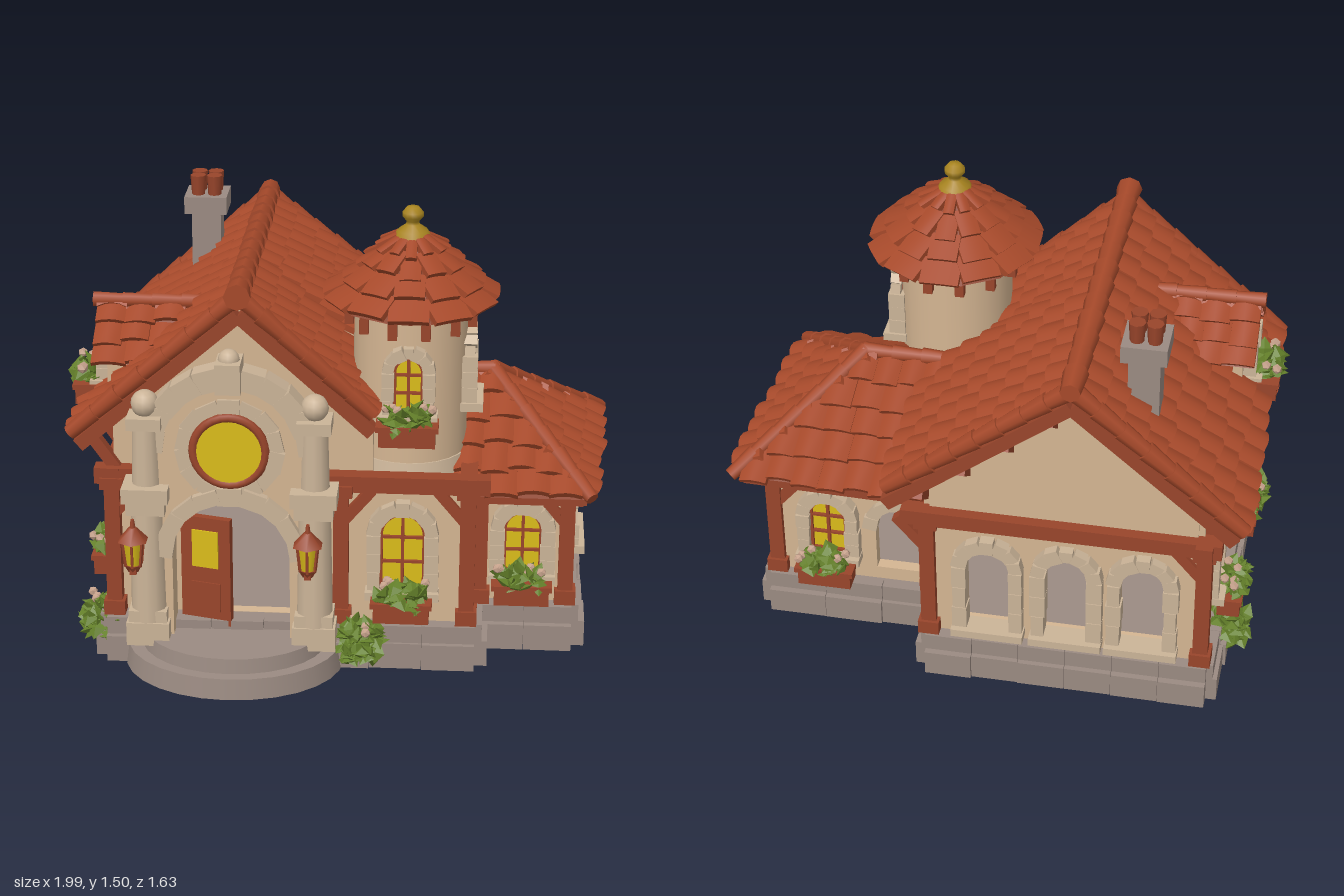
import * as THREE from 'three';
import { mergeGeometries } from 'three/addons/utils/BufferGeometryUtils.js';

const mat = (name, color, extra = {}) => new THREE.MeshStandardMaterial({ name, color, ...extra });
const M = {
  roof: mat('roof tile', 0xa6492a), sheet: mat('roof underside', 0x8a4028, { side: THREE.DoubleSide }),
  wood: mat('red timber', 0x99452b), plaster: mat('plaster', 0xd4b592), trim: mat('pale stone', 0xcbb498),
  stone: mat('grey stone', 0x9b8b82), gold: mat('golden glass', 0xdabc1a), brass: mat('brass', 0xa8841f),
  leaf: mat('leaf', 0x64802a), flower: mat('blossom', 0xc4a08a),
};
let seed = 7;
const rnd = () => (seed = (seed * 16807) % 2147483647) / 2147483647;
const jit = (a) => (rnd() - 0.5) * 2 * a;
const V = (x, y, z) => new THREE.Vector3(x, y, z);
const UP = V(0, 1, 0), PI = Math.PI;

function add(parent, name, geo, material, x = 0, y = 0, z = 0) {
  const m = new THREE.Mesh(geo, material);
  m.name = name;
  m.position.set(x, y, z);
  parent.add(m);
  return m;
}
const box = (p, n, m, w, h, d, x, y, z) => add(p, n, new THREE.BoxGeometry(w, h, d), m, x, y, z);
const cyl = (p, n, m, r1, r2, h, x, y, z, s = 12) => add(p, n, new THREE.CylinderGeometry(r1, r2, h, s), m, x, y, z);
function frame(parent, name, x, y, z, rot = 0) {
  const g = new THREE.Group();
  g.name = name;
  g.position.set(x, y, z);
  g.rotation.y = rot;
  parent.add(g);
  return g;
}
// Square timber from point a to point b
function beam(p, a, b, t = 0.05, name = 'beam') {
  const o = box(p, name, M.wood, t, t, a.distanceTo(b), 0, 0, 0);
  o.position.copy(a).lerp(b, 0.5);
  o.quaternion.setFromRotationMatrix(new THREE.Matrix4().lookAt(b, a, UP));
}
// Row of overlapping round cap tiles along a line
function caps(p, a, b, r = 0.035, name = 'ridgeCaps') {
  const n = Math.max(2, Math.round(a.distanceTo(b) / 0.1)), d = b.clone().sub(a), list = [];
  const q = new THREE.Quaternion().setFromUnitVectors(UP, d.clone().normalize());
  for (let i = 0; i < n; i++) {
    const g = new THREE.CylinderGeometry(r * 0.85, r * (1.08 + jit(0.08)), d.length() / n * 1.1, 8);
    list.push(g.applyQuaternion(q).translate(...a.clone().addScaledVector(d, (i + 0.5) / n).toArray()));
  }
  add(p, name, mergeGeometries(list), M.roof);
}
// Tiled roof plane: eave left/right and ridge left/right, seen from outside
function roofPlane(p, name, eL, eR, rL, rR, rows, tileW = 0.095, bend = 0.06) {
  const X = eR.clone().sub(eL).normalize();
  const rise = rL.clone().add(rR).sub(eL).sub(eR).multiplyScalar(0.5), len = rise.length();
  const N = X.clone().cross(rise).normalize(), D = X.clone().cross(N);
  const base = new THREE.BoxGeometry(1, 0.022, 1, 4, 1, 1), pos = base.attributes.position, list = [];
  for (let i = 0; i < pos.count; i++) {
    const x = pos.getX(i), z = pos.getZ(i);
    pos.setY(i, pos.getY(i) + 0.01 - bend * x * x + 0.026 * z);
  }
  base.computeVertexNormals();
  for (let r = 0; r < rows; r++) {
    const t = (r + 0.5) / rows, a = eL.clone().lerp(rL, t), b = eR.clone().lerp(rR, t);
    const n = Math.max(1, Math.round(a.distanceTo(b) / tileW)), w = a.distanceTo(b) / n;
    for (let c = 0; c < n; c++) {
      const o = a.clone().lerp(b, (c + 0.5) / n).addScaledVector(D, jit(0.012)).addScaledVector(N, jit(0.004));
      const k = new THREE.Matrix4().makeBasis(X.clone().multiplyScalar(w * 1.04), N, D.clone().multiplyScalar(len / rows * 1.22));
      list.push(base.clone().applyMatrix4(k.setPosition(o)));
    }
  }
  add(p, name, mergeGeometries(list), M.roof);
  const s = new THREE.BufferGeometry().setFromPoints([eL, eR, rR, eL, rR, rL].map((v) => v.clone().addScaledVector(N, -0.015)));
  s.computeVertexNormals();
  add(p, name + 'Underside', s, M.sheet);
}
// Arched outline, base centre at (x, y)
function arch(x, y, w, h, Type = THREE.Path) {
  const s = new Type(), r = w / 2;
  s.moveTo(x - r, y);
  s.lineTo(x + r, y);
  s.lineTo(x + r, y + h - r);
  s.absarc(x, y + h - r, r, 0, PI, false);
  s.closePath();
  return s;
}
function wall(p, name, pts, holes = [], m = M.plaster, depth = 0.04) {
  const s = Array.isArray(pts) ? new THREE.Shape(pts.map(([x, y]) => new THREE.Vector2(x, y))) : pts;
  s.holes.push(...holes.map((h) => arch(...h)));
  const g = new THREE.ExtrudeGeometry(s, { depth, bevelEnabled: false, curveSegments: 10 });
  add(p, name, g.translate(0, 0, -depth / 2), m);
}
const rect = (a, b, y0, y1) => [[a, y0], [b, y0], [b, y1], [a, y1]];
// Curved row of rough stone blocks
function blockArch(p, r, x, y, z, size, n, a0 = 0, a1 = PI, name = 'archStones') {
  for (let i = 0; i < n; i++) {
    const a = a0 + (a1 - a0) * (i + 0.5) / n;
    const b = box(p, name, M.trim, size + jit(0.006), (a1 - a0) * r / n * 1.06, size + jit(0.008), x + Math.cos(a) * r, y + Math.sin(a) * r, z);
    b.rotation.z = a;
  }
}
function foliage(p, x, y, z, sx, sy, sz, n, flowers) {
  const leaves = [];
  for (let i = 0; i < n; i++) {
    const v = V(jit(1), jit(1), jit(1)).normalize().multiplyScalar(0.55 + 0.45 * rnd());
    const g = new THREE.OctahedronGeometry(0.036).scale(0.85, 0.4, 1.1).rotateX(jit(1.3)).rotateY(jit(3));
    leaves.push(g.translate(v.x * sx, v.y * sy, v.z * sz));
  }
  add(p, 'foliage', mergeGeometries(leaves), M.leaf, x, y, z);
  for (let i = 0; i < flowers; i++)
    add(p, 'blossom', new THREE.IcosahedronGeometry(0.017), M.flower, x + jit(sx * 0.9), y + sy * 0.8, z + jit(sz));
}
function flowerBox(p, y, z, w = 0.18) {
  box(p, 'flowerBox', M.wood, w, 0.065, 0.075, 0, y, z);
  box(p, 'flowerBoxRim', M.wood, w + 0.02, 0.018, 0.09, 0, y + 0.03, z);
  foliage(p, 0, y + 0.055, z + 0.005, w * 0.5, 0.04, 0.045, 34, 5);
}
// Arched window facing +z of its frame: stone surround, optional glass and flower box
function archWindow(p, x, y, z, rot, w, h, { glass = true, flowers = true, edge = 0.046 } = {}) {
  const g = frame(p, 'archWindow', x, y, z, rot), r = w / 2 + edge * 0.4, top = h - w / 2;
  blockArch(g, r, 0, top, 0.012, edge, 7);
  for (const s of [-1, 1]) for (let i = 0; i < 3; i++)
    box(g, 'jambStone', M.trim, edge + jit(0.007), top / 3 * 0.97, 0.055, s * r, top * (i + 0.5) / 3, 0.01);
  box(g, 'sill', M.trim, w + 0.09, 0.028, 0.08, 0, -0.012, 0.018);
  if (glass) {
    wall(g, 'glass', arch(0, 0, w, h, THREE.Shape), [], M.gold, 0.008);
    wall(g, 'sash', arch(0, 0, w, h, THREE.Shape), [[0, 0.01, w - 0.022, h - 0.021]], M.wood, 0.03);
    box(g, 'mullion', M.wood, 0.01, h - 0.02, 0.018, 0, h / 2, 0.006);
    for (const k of [0.36, 0.68]) box(g, 'glazingBar', M.wood, w - 0.02, 0.008, 0.018, 0, h * k, 0.006);
  }
  if (flowers) flowerBox(g, -0.05, 0.07);
}
// Corner post with foot, capital and brackets
function post(p, x, z, y0, y1) {
  const g = frame(p, 'cornerPost', x, 0, z);
  box(g, 'post', M.wood, 0.05, y1 - y0, 0.05, 0, (y0 + y1) / 2, 0);
  box(g, 'postFoot', M.wood, 0.07, 0.05, 0.07, 0, y0 + 0.025, 0);
  box(g, 'postHead', M.wood, 0.075, 0.04, 0.075, 0, y1 - 0.02, 0);
  const bx = x > 0.3 ? -1 : 1;
  beam(g, V(0, y1 - 0.14, 0), V(bx * 0.1, y1 - 0.02, 0), 0.035, 'bracket');
  beam(g, V(0, y1 - 0.14, 0), V(0, y1 - 0.02, -Math.sign(z) * 0.1), 0.035, 'bracket');
}
// Two courses of rough blocks along a foundation edge
function stoneEdge(p, ax, az, bx, bz) {
  const a = V(ax, 0, az), b = V(bx, 0, bz), L = a.distanceTo(b);
  for (const [y, h, d] of [[0.045, 0.09, 0.08], [0.12, 0.06, 0.045]]) {
    const n = Math.max(1, Math.round(L / 0.17));
    for (let i = 0; i < n; i++) {
      const o = box(p, 'foundationBlock', M.stone, L / n * 0.99, h, d + jit(0.01), 0, 0, 0);
      o.position.copy(a).lerp(b, (i + 0.5) / n).setY(y);
      o.rotation.y = Math.atan2(az - bz, bx - ax);
    }
  }
}

export function createModel() {
  const root = new THREE.Group();
  root.name = 'cottage';
  const H = frame(root, 'house', 0, 0, 0, PI * 25 / 180);

  // Foundation and floor
  const F = frame(H, 'foundation', 0, 0, 0);
  for (const [a, b, c, d] of [[-0.66, 0.25, -0.58, 0.44], [0.1, 0.53, -0.3, 0.43], [0.2, 0.86, -0.36, 0.26]])
    box(F, 'foundationCore', M.stone, b - a, 0.15, d - c, (a + b) / 2, 0.075, (c + d) / 2);
  const rim = [[-0.67, -0.58], [-0.67, 0.45], [0.54, 0.44], [0.54, 0.27], [0.86, 0.27], [0.86, -0.37], [0.27, -0.37], [0.27, -0.58]];
  rim.forEach((a, i) => stoneEdge(F, ...a, ...rim[(i + 1) % rim.length]));
  for (const [r, y, h] of [[1, 0.035, 0.07], [0.85, 0.09, 0.06]])
    cyl(F, 'roundStep', M.stone, 0.35 * r, 0.36 * r, h, -0.25, y, 0.44, 28).scale.z = 0.82;

  // Main block walls
  const W = frame(H, 'walls', 0, 0, 0);
  wall(frame(W, 'frontGable', 0, 0, 0.38), 'frontGableWall',
    [[-0.62, 0.15], [0.2, 0.15], [0.2, 0.88], [-0.22, 1.22], [-0.62, 0.87]], [[-0.245, 0.151, 0.36, 0.44]]);
  const backG = frame(W, 'backGable', 0, 0, -0.54, PI), backX = [-0.06, 0.2, 0.45];
  wall(backG, 'backGableWall', [[-0.25, 0.15], [0.62, 0.15], [0.62, 0.87], [0.22, 1.22], [-0.25, 0.86]],
    backX.map((x) => [x, 0.2, 0.15, 0.33]));
  backX.forEach((x) => archWindow(backG, x, 0.2, 0.02, 0, 0.15, 0.33, { glass: false, flowers: false }));
  const left = frame(W, 'leftSide', -0.62, 0, 0, -PI / 2);
  wall(left, 'leftWall', rect(-0.55, 0.4, 0.15, 0.87), [[-0.28, 0.27, 0.13, 0.25], [0.14, 0.27, 0.13, 0.25]]);
  archWindow(left, -0.28, 0.27, 0.02, 0, 0.13, 0.25, { glass: false });
  archWindow(left, 0.14, 0.27, 0.02, 0, 0.13, 0.25);
  const right = frame(W, 'rightSide', 0.25, 0, 0, PI / 2);
  wall(right, 'rightUpperWall', rect(-0.1, 0.55, 0.55, 0.86));
  wall(right, 'rightLowerWall', rect(0.33, 0.55, 0.15, 0.55));

  // Block below the tower, and side wing
  const tb = frame(W, 'towerBase', 0, 0, 0.4);
  wall(tb, 'towerBaseWall', rect(0.1, 0.5, 0.15, 0.64), [[0.3, 0.27, 0.15, 0.27]]);
  archWindow(tb, 0.3, 0.27, 0.02, 0, 0.15, 0.27);
  box(W, 'towerBaseSide', M.plaster, 0.04, 0.49, 0.18, 0.5, 0.395, 0.31);
  box(W, 'towerBaseCeiling', M.plaster, 0.4, 0.03, 0.4, 0.31, 0.62, 0.21);
  const wf = frame(W, 'wingFront', 0, 0, 0.22);
  wall(wf, 'wingFrontWall', rect(0.5, 0.82, 0.14, 0.58), [[0.69, 0.26, 0.13, 0.22]]);
  archWindow(wf, 0.69, 0.26, 0.02, 0, 0.13, 0.22);
  const wr = frame(W, 'wingRight', 0.82, 0, 0, PI / 2);
  wall(wr, 'wingRightWall', rect(-0.24, 0.35, 0.14, 0.58));
  archWindow(wr, 0.08, 0.265, 0.025, 0, 0.19, 0.17, { flowers: false, edge: 0.035 });
  const wb = frame(W, 'wingBack', 0, 0, -0.33, PI);
  wall(wb, 'wingBackWall', rect(-0.82, -0.25, 0.14, 0.6), [[-0.65, 0.26, 0.13, 0.22], [-0.39, 0.2, 0.2, 0.28]]);
  archWindow(wb, -0.65, 0.26, 0.02, 0, 0.13, 0.22);
  blockArch(wb, 0.115, -0.39, 0.38, 0.02, 0.045, 8);

  // Timber frame
  const T = frame(H, 'timberFrame', 0, 0, 0);
  for (const [x, z] of [[-0.645, 0.42], [-0.645, -0.56], [0.26, -0.56], [0.1, 0.43], [0.51, 0.42]]) post(T, x, z, 0.15, 0.64);
  for (const [x, z] of [[0.835, 0.24], [0.835, -0.345], [0.55, 0.25], [0.3, -0.355]]) post(T, x, z, 0.15, 0.57);
  for (const [a, b, c, d] of [[-0.645, -0.62, -0.645, 0.45], [-0.7, -0.57, 0.34, -0.57], [0.06, 0.43, 0.58, 0.43], [0.51, 0.2, 0.51, 0.46], [-0.7, 0.42, -0.5, 0.42]])
    beam(T, V(a, 0.645, b), V(c, 0.645, d), 0.055);
  for (let i = 0; i < 6; i++) {
    const z = -0.52 + i * 0.185;
    beam(T, V(-0.63, 0.66, z), V(-0.72, 0.79, z), 0.038, 'eaveBrace');
  }
  for (let i = 0; i < 4; i++) for (const s of [-1, 1]) {
    const x = -0.22 + s * (0.07 + i * 0.14), y = 1.13 - i * 0.115;
    beam(T, V(x, y - 0.07, -0.55), V(x, y, -0.64), 0.035, 'gableBrace');
  }

  // Main roof: left slope full length, right slope shorter beside the tower
  const R = frame(H, 'roofs', 0, 0, 0), yr = 1.27, xr = -0.225, zf = 0.44, zb = -0.65;
  roofPlane(R, 'mainRoofLeft', V(-0.765, 0.795, zb), V(-0.765, 0.795, zf), V(xr, yr, zb), V(xr, yr, zf), 8);
  roofPlane(R, 'mainRoofRightRear', V(0.37, 0.81, 0), V(0.37, 0.81, zb), V(xr, yr, 0), V(xr, yr, zb), 8);
  roofPlane(R, 'mainRoofRightFront', V(0.2, 0.885, zf), V(0.2, 0.885, 0), V(xr, yr, zf), V(xr, yr, 0), 6);
  caps(R, V(xr, yr + 0.01, 0.48), V(xr, yr + 0.01, -0.68), 0.038);
  for (const [z, ex, ey] of [[zf, 0.2, 0.885], [zb, 0.37, 0.81]]) {
    caps(R, V(xr, yr, z), V(-0.77, 0.795, z), 0.03, 'gableEdgeTiles');
    caps(R, V(xr, yr, z), V(ex, ey, z), 0.03, 'gableEdgeTiles');
    beam(R, V(xr, yr - 0.06, z), V(-0.745, 0.755, z), 0.045, 'bargeBoard');
    beam(R, V(xr, yr - 0.06, z), V(ex, ey - 0.06, z), 0.045, 'bargeBoard');
  }

  // Hipped wing roof
  const A = V(0.58, 0.87, -0.03), B = V(0.28, 0.87, -0.03), c1 = V(0.905, 0.59, 0.38), c2 = V(0.955, 0.59, -0.42);
  roofPlane(R, 'wingRoofFront', V(0.46, 0.59, 0.38), c1, V(0.46, 0.87, -0.03), A, 5);
  roofPlane(R, 'wingRoofRight', c1, c2, A, A, 5);
  roofPlane(R, 'wingRoofBack', c2, V(0.3, 0.61, -0.45), A, B, 5);
  for (const e of [c1, c2, B]) caps(R, A, e, 0.026, 'hipCaps');
  for (const [a, b] of [[V(0.5, 0.565, 0.34), V(0.88, 0.565, 0.34)], [V(0.875, 0.565, 0.35), V(0.915, 0.565, -0.39)], [V(0.92, 0.565, -0.39), V(0.3, 0.57, -0.41)]])
    beam(R, a, b, 0.035, 'eaveBoard');

  // Dormer on the left slope
  const Dm = frame(H, 'dormer', -0.66, 0, 0.12, -PI / 2);
  wall(Dm, 'dormerFront', [[-0.11, 0.84], [0.11, 0.84], [0.11, 0.99], [0, 1.11], [-0.11, 0.99]]);
  for (const s of [-1, 1]) box(Dm, 'dormerCheek', M.plaster, 0.03, 0.14, 0.2, s * 0.095, 0.91, -0.1);
  archWindow(Dm, 0, 0.88, 0.025, 0, 0.095, 0.17, { edge: 0.035 });
  roofPlane(Dm, 'dormerRoofLeft', V(-0.16, 0.975, -0.25), V(-0.16, 0.975, 0.06), V(0, 1.13, -0.34), V(0, 1.13, 0.06), 3);
  roofPlane(Dm, 'dormerRoofRight', V(0.16, 0.975, 0.06), V(0.16, 0.975, -0.25), V(0, 1.13, 0.06), V(0, 1.13, -0.34), 3);
  caps(Dm, V(0, 1.135, 0.07), V(0, 1.135, -0.32), 0.025);

  // Tower
  const Tw = frame(H, 'tower', 0.31, 0, 0.19);
  cyl(Tw, 'towerWall', M.plaster, 0.185, 0.185, 0.58, 0, 0.91, 0, 24);
  cyl(Tw, 'towerFooting', M.trim, 0.19, 0.2, 0.05, 0, 0.665, 0, 24);
  cyl(Tw, 'towerCornice', M.wood, 0.215, 0.2, 0.035, 0, 1.185, 0, 24);
  archWindow(Tw, 0, 0.87, 0.185, 0, 0.1, 0.19, { edge: 0.038 });
  archWindow(Tw, 0.18, 0.86, -0.01, PI / 2, 0.1, 0.21, { flowers: false, edge: 0.038 });
  for (let i = 0; i < 12; i++) {
    const p = (k, r, y) => V(Math.sin((k - 0.5) * PI / 6) * r, y, Math.cos((k - 0.5) * PI / 6) * r);
    roofPlane(Tw, 'towerRoofFacet', p(i, 0.268, 1.2), p(i + 1, 0.268, 1.2), p(i, 0.035, 1.41), p(i + 1, 0.035, 1.41), 4, 0.09, 0.02);
    const b = p(i, 0.205, 1.15);
    box(Tw, 'corniceBracket', M.wood, 0.03, 0.06, 0.03, b.x, b.y, b.z);
  }
  const fin = [[0.062, 1.395], [0.05, 1.42], [0.022, 1.44], [0.02, 1.45], [0.034, 1.465], [0.034, 1.48], [0.02, 1.497], [0, 1.5]];
  add(Tw, 'finial', new THREE.LatheGeometry(fin.map(([x, y]) => new THREE.Vector2(x, y)), 12), M.brass);

  // Chimney
  const C = frame(H, 'chimney', -0.42, 0, -0.43);
  box(C, 'chimneyStack', M.stone, 0.1, 0.3, 0.1, 0, 1.14, 0);
  box(C, 'chimneyCap', M.stone, 0.145, 0.06, 0.145, 0, 1.31, 0);
  for (const s of [-1, 1]) for (const t of [-1, 1]) cyl(C, 'chimneyPot', M.wood, 0.027, 0.022, 0.075, s * 0.028, 1.37, t * 0.028, 8);

  // Stone entrance portal with round window
  const P = frame(H, 'portal', -0.25, 0, 0.47);
  wall(P, 'portalWall', arch(0, 0.1, 0.5, 0.92, THREE.Shape), [[0, 0.101, 0.38, 0.5]], M.plaster, 0.1);
  blockArch(P, 0.25, 0, 0.77, 0.02, 0.07, 11);
  blockArch(P, 0.215, 0, 0.41, 0.05, 0.055, 9);
  blockArch(P, 0.15, 0, 0.78, 0.04, 0.045, 14, 0, 2 * PI, 'windowRingStones');
  add(P, 'roundWindowRing', new THREE.TorusGeometry(0.115, 0.015, 8, 28), M.wood, 0, 0.78, 0.06);
  cyl(P, 'roundGlass', M.gold, 0.108, 0.108, 0.03, 0, 0.78, 0.055, 28).rotation.x = PI / 2;
  box(P, 'keystone', M.trim, 0.08, 0.1, 0.11, 0, 1.03, 0.03);
  add(P, 'crownBall', new THREE.SphereGeometry(0.035, 12, 8), M.trim, 0, 1.08, 0.03);
  for (const s of [-1, 1]) {
    const x = s * 0.27;
    cyl(P, 'column', M.trim, 0.052, 0.06, 0.44, x, 0.38, 0.04);
    for (const [w, h, y] of [[0.14, 0.08, 0.14], [0.125, 0.04, 0.2], [0.125, 0.04, 0.58], [0.15, 0.05, 0.63]])
      box(P, 'columnBlock', M.trim, w, h, w, x, y, 0.03);
    cyl(P, 'upperColumn', M.trim, 0.042, 0.048, 0.21, x, 0.76, 0.03);
    box(P, 'upperCapital', M.trim, 0.11, 0.04, 0.11, x, 0.87, 0.03);
    add(P, 'columnBall', new THREE.SphereGeometry(0.045, 12, 8), M.trim, x, 0.925, 0.03);
    // Lantern on an arm
    const L = frame(P, 'lantern', s * 0.28 - 0.025, 0.45, 0.13);
    beam(L, V(0, -0.06, -0.08), V(0, -0.06, 0.02), 0.022, 'lanternArm');
    cyl(L, 'lanternGlass', M.gold, 0.036, 0.026, 0.085, 0, 0, 0, 6);
    cyl(L, 'lanternRoof', M.wood, 0.012, 0.052, 0.045, 0, 0.065, 0, 6);
    cyl(L, 'lanternBase', M.wood, 0.032, 0.018, 0.025, 0, -0.053, 0, 6);
    cyl(L, 'lanternTip', M.wood, 0.006, 0.01, 0.03, 0, 0.1, 0, 6);
    for (let i = 0; i < 6; i++) {
      const a = i * PI / 3;
      beam(L, V(Math.sin(a) * 0.027, -0.045, Math.cos(a) * 0.027), V(Math.sin(a) * 0.037, 0.045, Math.cos(a) * 0.037), 0.008, 'lanternBar');
    }
  }
  // Door leaf standing ajar
  const door = frame(P, 'door', -0.17, 0.13, -0.05, -0.25);
  box(door, 'doorLeaf', M.wood, 0.17, 0.38, 0.025, 0.085, 0.19, 0);
  for (const z of [-0.015, 0.015]) box(door, 'doorGlass', M.gold, 0.09, 0.13, 0.006, 0.085, 0.27, z);
  box(door, 'doorPanel', M.wood, 0.1, 0.1, 0.035, 0.085, 0.1, 0);

  // Bushes at the foundation
  for (const [x, z] of [[-0.71, -0.33], [-0.69, 0.4], [0.17, 0.52]]) foliage(H, x, 0.115, z, 0.07, 0.075, 0.07, 70, 3);
  return root;
}
